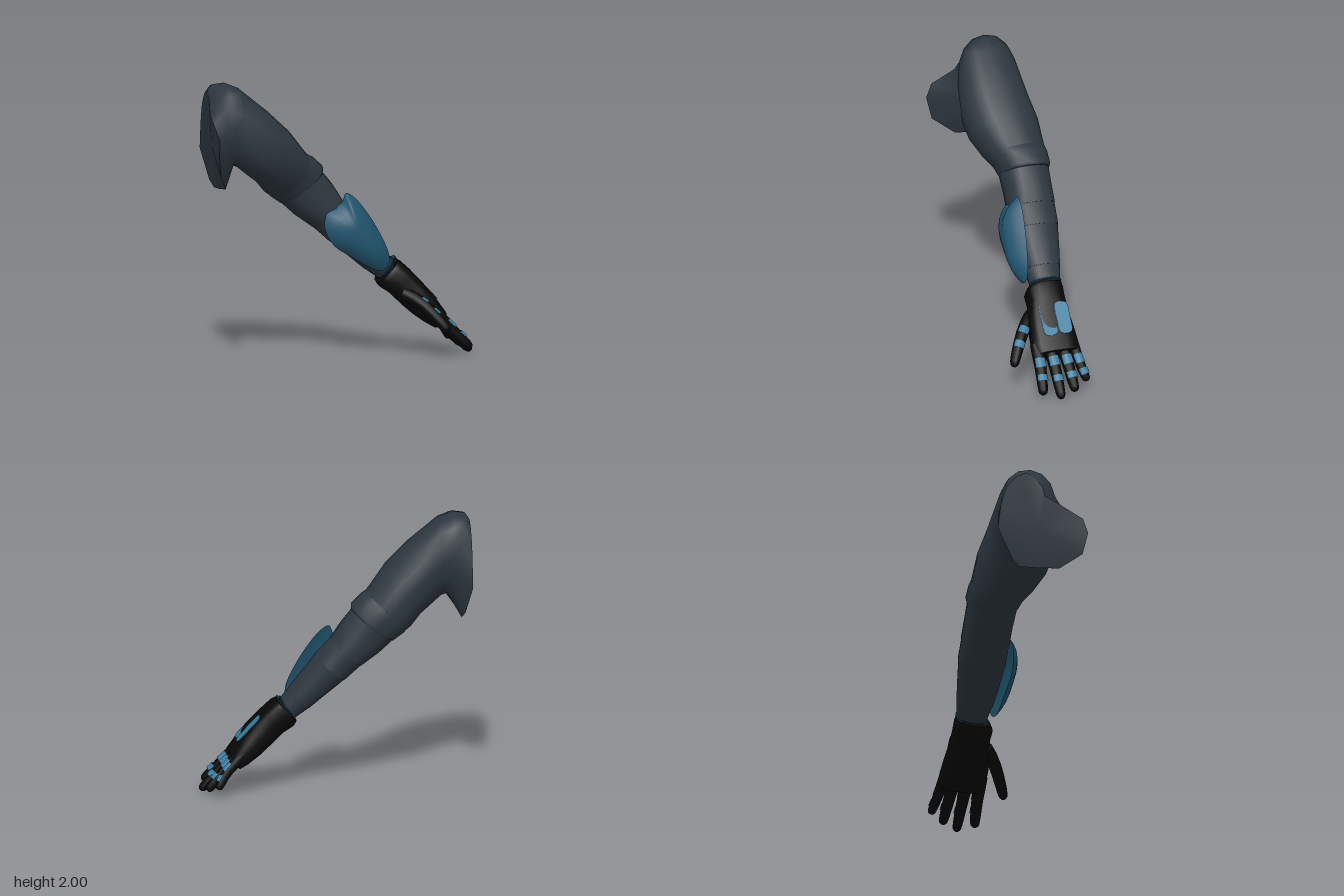
import * as THREE from 'three';

const V = (x, y, z) => new THREE.Vector3(x, y, z);
const mat = (name, color, side = THREE.FrontSide) => {
  const m = new THREE.MeshStandardMaterial({ color, side });
  m.name = name;
  return m;
};

// Skin through equal-length rings of points, with caps on both ends
function loft(rings, startCentre, endCentre) {
  const n = rings[0].length, pos = [], idx = [];
  const put = (p) => pos.push(p.x, p.y, p.z) / 3 - 1;
  rings.forEach((r) => r.forEach(put));
  for (let i = 0; i < rings.length - 1; i++) {
    for (let j = 0; j < n; j++) {
      const a = i * n + j, b = i * n + (j + 1) % n;
      idx.push(a, b, a + n, b, b + n, a + n);
    }
  }
  const cap = (ring, centre, flip) => {
    const mid = centre || ring.reduce((s, p) => s.add(p), V(0, 0, 0)).divideScalar(n);
    const c = put(mid), first = ring.map(put)[0];
    for (let j = 0; j < n; j++) {
      const a = first + j, b = first + (j + 1) % n;
      idx.push(c, flip ? b : a, flip ? a : b);
    }
  };
  cap(rings[0], startCentre, true);
  cap(rings[rings.length - 1], endCentre, false);
  const g = new THREE.BufferGeometry();
  g.setAttribute('position', new THREE.Float32BufferAttribute(pos, 3));
  g.setIndex(idx);
  g.computeVertexNormals();
  return g;
}

// Rounded section from its top point, bottom point and depth range
function section([tx, ty, bx, by, z0, z1], scale = 1, n = 16, power = 0.9) {
  const soft = (v) => Math.sign(v) * Math.abs(v) ** power * scale;
  return Array.from({ length: n }, (_, j) => {
    const t = (j / n) * Math.PI * 2, c = soft(Math.cos(t)), s = soft(Math.sin(t));
    return V((tx + bx) / 2 + c * (tx - bx) / 2, (ty + by) / 2 + c * (ty - by) / 2,
      (z0 + z1) / 2 + s * (z1 - z0) / 2);
  });
}

// Thin rounded plate lying in its own XY plane
function plateGeometry(w, h, r, depth) {
  const s = new THREE.Shape(), x = w / 2, y = h / 2;
  s.moveTo(-x + r, -y);
  s.lineTo(x - r, -y).quadraticCurveTo(x, -y, x, -y + r);
  s.lineTo(x, y - r).quadraticCurveTo(x, y, x - r, y);
  s.lineTo(-x + r, y).quadraticCurveTo(-x, y, -x, y - r);
  s.lineTo(-x, -y + r).quadraticCurveTo(-x, -y, -x + r, -y);
  return new THREE.ExtrudeGeometry(s, { depth, bevelEnabled: false, curveSegments: 6 });
}

export function createModel() {
  const group = new THREE.Group();
  const cloth = mat('slate cloth', 0x2d363f);
  const black = mat('black glove', 0x070707);
  const deepBlue = mat('deep blue', 0x21556f, THREE.DoubleSide);
  const blue = mat('pad blue', 0x3b7c9f, THREE.DoubleSide);
  const add = (name, geometry, material, parent = group) => {
    const m = new THREE.Mesh(geometry, material);
    m.name = name;
    parent.add(m);
    return m;
  };

  // Upper sleeve, starting at the shoulder rim with its chest flap
  const rim = [
    [-0.95, 1.95, -0.1], [-0.955, 1.9, -0.03], [-0.96, 1.85, 0.01], [-0.96, 1.78, 0.03],
    [-0.96, 1.73, 0.14], [-0.96, 1.64, 0.31], [-0.97, 1.53, 0.345], [-0.95, 1.37, 0.31],
    [-0.88, 1.27, 0.16], [-0.885, 1.25, 0.0], [-0.89, 1.24, -0.14], [-0.91, 1.29, -0.2],
    [-0.95, 1.5, -0.315], [-0.95, 1.68, -0.29], [-0.95, 1.82, -0.25], [-0.95, 1.91, -0.18],
  ].map((p) => V(...p));
  const upper = [
    [-0.92, 1.99, -0.78, 1.41, -0.275, 0.145], [-0.84, 2.0, -0.76, 1.4, -0.275, 0.165],
    [-0.74, 1.96, -0.74, 1.39, -0.275, 0.18],
    [-0.52, 1.78, -0.68, 1.34, -0.3, 0.2], [-0.36, 1.63, -0.6, 1.28, -0.33, 0.18],
    [-0.24, 1.48, -0.53, 1.2, -0.335, 0.11], [-0.16, 1.39, -0.46, 1.15, -0.335, 0.05],
  ];
  add('upperSleeve', loft([rim, ...upper.map((s) => section(s))], V(-0.94, 1.56, -0.02)), cloth);

  // Folded hem above the elbow
  add('elbowHem', loft([
    section([-0.22, 1.455, -0.5, 1.19, -0.335, 0.085]),
    section([-0.17, 1.43, -0.485, 1.165, -0.342, 0.06]),
    section([-0.1, 1.365, -0.4, 1.105, -0.342, 0.03]),
    section([-0.1, 1.34, -0.38, 1.11, -0.335, 0.02]),
  ]), cloth);

  // Forearm sleeve in overlapping bands
  const fore = [
    [-0.14, 1.37, -0.41, 1.12, -0.33, 0.025], [-0.03, 1.235, -0.3, 1.02, -0.325, 0.02],
    [0.04, 1.12, -0.17, 0.93, -0.32, 0.025], [0.15, 1.0, -0.05, 0.825, -0.31, 0.03],
    [0.25, 0.87, 0.09, 0.71, -0.285, 0.02], [0.33, 0.77, 0.2, 0.62, -0.26, 0.0],
    [0.4, 0.68, 0.3, 0.55, -0.235, -0.02],
  ];
  [[0, 2], [2, 3], [3, 5], [5, 6]].forEach(([from, to]) => add('forearmBand',
    loft(fore.slice(from, to + 1).map((s, i) => section(s, i === to - from ? 1.02 : 1))), cloth));

  // Domed forearm guard
  const outline = new THREE.CatmullRomCurve3([
    [0.04, 1.18], [0.01, 1.12], [-0.04, 1.085], [-0.105, 1.05], [-0.13, 0.95], [-0.065, 0.82],
    [0.05, 0.74], [0.18, 0.66], [0.28, 0.62], [0.34, 0.65], [0.35, 0.73], [0.3, 0.86],
    [0.2, 1.03], [0.1, 1.15],
  ].map(([x, y]) => V(x, y, 0.015 - 0.155 * (x - 0.1 + y - 0.9))), true).getPoints(48).slice(0, 48);
  const guardRings = [1, 0.95, 0.85, 0.7, 0.5, 0.3, 0.1].map((s) => outline.map((p) =>
    V(0.1 + (p.x - 0.1) * s, 0.9 + (p.y - 0.9) * s, p.z * s ** 3 + 0.115 * (1 - s ** 3))));
  const guard = loft(guardRings, V(0.1, 0.9, 0.06), V(0.1, 0.9, 0.115));
  add('forearmGuard', guard, deepBlue);

  // Thin wrist bands
  [[0.4, 0.69, 0.3, 0.56, -0.235, -0.015], [0.42, 0.695, 0.3, 0.53, -0.225, -0.02]].forEach((s) => {
    const curve = new THREE.CatmullRomCurve3(section(s, 1.03), true);
    add('wristBand', new THREE.TubeGeometry(curve, 40, 0.005, 6, true), deepBlue);
  });

  // Glove body
  const palm = [
    [0.43, 0.685, 0.285, 0.525, -0.235, 0.01], [0.46, 0.665, 0.305, 0.49, -0.24, 0.035],
    [0.52, 0.61, 0.38, 0.44, -0.235, 0.035], [0.595, 0.53, 0.46, 0.36, -0.24, 0.06],
    [0.67, 0.445, 0.54, 0.29, -0.255, 0.07], [0.73, 0.36, 0.63, 0.225, -0.265, 0.075],
    [0.77, 0.305, 0.69, 0.19, -0.255, 0.065],
  ];
  add('glove', loft(palm.map((s) => section(s, 1, 20, 0.7))), black);

  // Back-of-hand plates
  const across = V(0, 0, 1), along = V(0.69, -0.724, 0).normalize();
  const out = across.clone().cross(along).normalize();
  [[-0.062, 0.002], [-0.172, 0.008]].forEach(([z, lift]) => {
    const p = add('handPlate', plateGeometry(0.1, 0.24, 0.045, 0.005), blue);
    p.quaternion.setFromRotationMatrix(new THREE.Matrix4().makeBasis(across, along, out));
    p.position.set(0.626, 0.478, z).addScaledVector(out, lift);
  });

  // Fingers and thumb, each with two curved knuckle pads
  const digit = (name, points, r, pads) => {
    const finger = new THREE.Group();
    finger.name = name;
    group.add(finger);
    const curve = new THREE.CatmullRomCurve3(points.map((p) => V(...p)));
    const frame = (t) => {
      const d = curve.getTangent(t), side = d.clone().cross(V(0.72, 0.69, 0)).normalize();
      return { c: curve.getPoint(t), d, side, up: side.clone().cross(d) };
    };
    const ring = (t, radius) => {
      const f = frame(t);
      return Array.from({ length: 12 }, (_, j) => f.c.clone()
        .addScaledVector(f.up, Math.cos(j * Math.PI / 6) * radius)
        .addScaledVector(f.side, Math.sin(j * Math.PI / 6) * radius));
    };
    const shape = [[0, 1.15], [0.2, 1.12], [0.4, 1.03], [0.6, 0.98], [0.8, 0.9], [0.92, 0.8],
      [0.97, 0.65], [1, 0.35]];
    add('gloveDigit', loft(shape.map(([t, k]) => ring(t, r * k))), black, finger);
    pads.forEach(([t, len]) => {
      const f = frame(t), back = f.d.clone().negate();
      const g = new THREE.CylinderGeometry(r * 1.13, r * 1.17, len, 10, 1, true, -0.9, 1.8);
      const pad = add('knucklePad', g, blue, finger);
      pad.quaternion.setFromRotationMatrix(
        new THREE.Matrix4().makeBasis(back.clone().cross(f.up), back, f.up));
      pad.position.copy(f.c);
    });
  };
  const fingers = [
    ['indexFinger', 0.037, 0.046, 0.066, 0.93, 0.05],
    ['middleFinger', -0.053, -0.06, -0.06, 0.96, 0.015],
    ['ringFinger', -0.145, -0.16, -0.172, 0.925, 0.04],
    ['littleFinger', -0.222, -0.247, -0.278, 0.86, 0.075],
  ];
  fingers.forEach(([name, z0, z1, z2, x, y], i) => digit(name,
    [[0.67, 0.315, z0], [0.8, 0.178, z1], [x, y, z2]],
    i === 3 ? 0.036 : 0.042, [[0.38, 0.07], [0.69, 0.05]]));
  digit('thumb', [[0.46, 0.45, 0.01], [0.56, 0.39, 0.1], [0.645, 0.305, 0.165], [0.73, 0.2, 0.225]],
    0.043, [[0.37, 0.055], [0.64, 0.055]]);

  return group;
}
